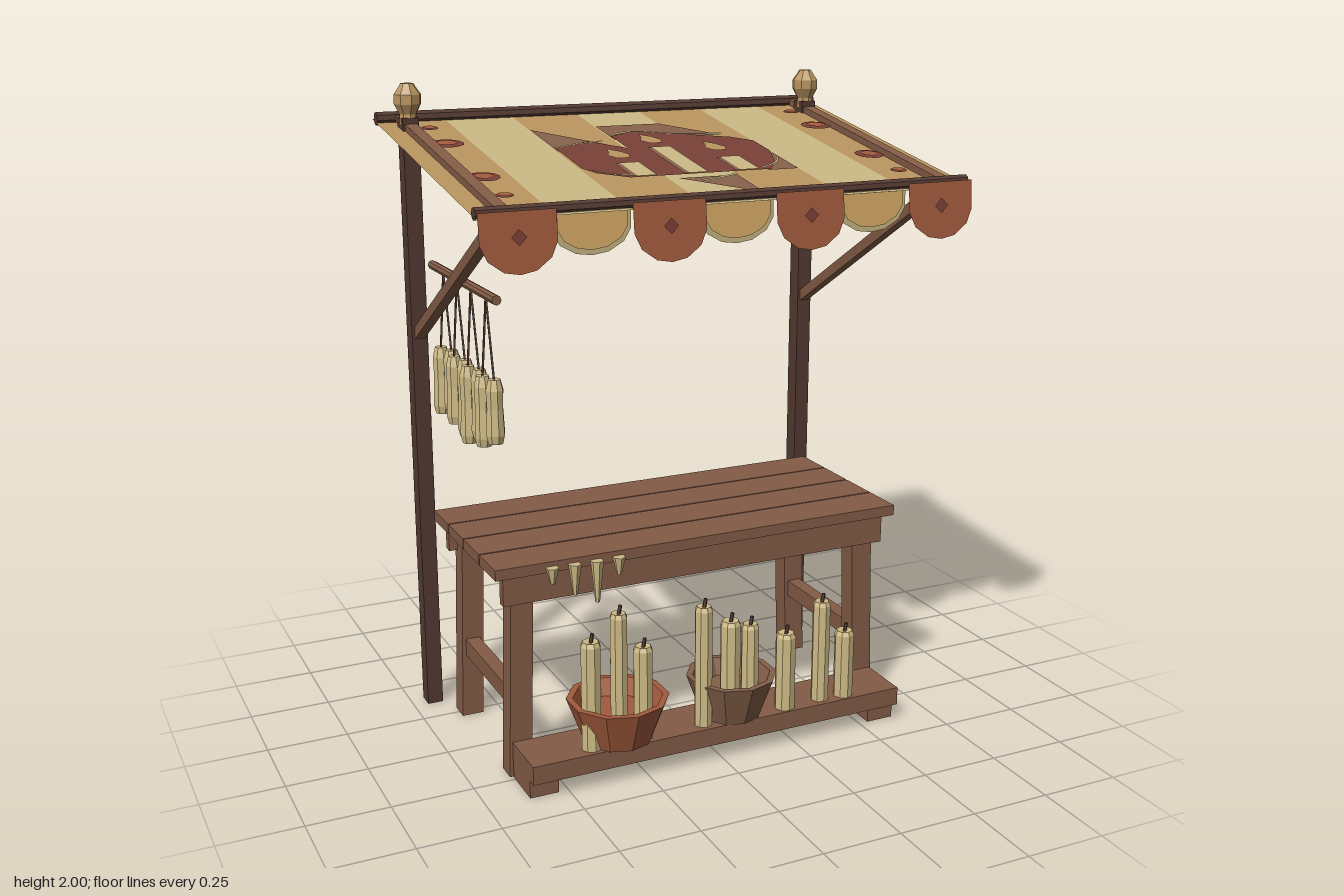
import * as THREE from 'three';

const mat = (name, color, side = THREE.FrontSide) =>
  Object.assign(new THREE.MeshStandardMaterial({ color, side, flatShading: true }), { name });

export function createModel() {
  const root = new THREE.Group();
  root.name = 'marketStall';
  const darkWood = mat('dark wood', 0x543a32);
  const wood = mat('wood', 0x835c46);
  const wax = mat('wax', 0xcfbb86);
  const cream = mat('cream cloth', 0xc9b783, THREE.DoubleSide);
  const tan = mat('tan cloth', 0xb9945f, THREE.DoubleSide);
  const gold = mat('gold cloth', 0xdbb069, THREE.DoubleSide);
  const clay = mat('terracotta', 0xa25b3d, THREE.DoubleSide);
  const maroon = mat('maroon paint', 0x773f36);
  const brown = mat('brown paint', 0x84604a, THREE.DoubleSide);

  const add = (parent, name, geo, m, x = 0, y = 0, z = 0) => {
    const mesh = new THREE.Mesh(geo, m);
    mesh.name = name;
    mesh.position.set(x, y, z);
    parent.add(mesh);
    return mesh;
  };
  const group = (name, parent = root) => {
    const g = new THREE.Group();
    g.name = name;
    parent.add(g);
    return g;
  };
  const box = (parent, name, m, w, h, d, x, y, z) => add(parent, name, new THREE.BoxGeometry(w, h, d), m, x, y, z);
  const lathe = (pts, sides) => new THREE.LatheGeometry(pts.map(p => new THREE.Vector2(...p)), sides);
  // Straight member between two points, square or round
  const bar = (parent, name, m, a, b, r, sides = 0) => {
    const A = new THREE.Vector3(...a), B = new THREE.Vector3(...b), len = A.distanceTo(B);
    const geo = sides ? new THREE.CylinderGeometry(r, r, len, sides) : new THREE.BoxGeometry(2 * r, len, 2 * r);
    const mesh = add(parent, name, geo, m);
    mesh.position.copy(A).lerp(B, 0.5);
    mesh.quaternion.setFromUnitVectors(new THREE.Vector3(0, 1, 0), B.sub(A).normalize());
    return mesh;
  };

  // Posts, finials and braces
  const frame = group('frame');
  for (const s of [-1, 1]) {
    box(frame, 'post', darkWood, 0.05, 1.9, 0.055, s * 0.68, 0.95, -0.375);
    add(frame, 'finial', lathe([[0, 0], [0.028, 0], [0.026, 0.03], [0.042, 0.06], [0.042, 0.088],
      [0.026, 0.11], [0.02, 0.12], [0, 0.12]], 8), tan, s * 0.68, 1.88, -0.375);
    bar(frame, 'brace', wood, [s * 0.68, 1.715, 0.43], [s * 0.68, 1.24, -0.36], 0.016);
  }

  // Sloped canopy; its local plane is the cloth
  const canopy = group('canopy');
  canopy.position.y = 1.8;
  canopy.rotation.x = Math.atan(0.178);
  const plate = (name, m, pts, level) => add(canopy, name,
    new THREE.ShapeGeometry(new THREE.Shape(pts.map(p => new THREE.Vector2(p[0], -p[1])))).rotateX(-Math.PI / 2),
    m, 0, level, 0);
  const rect = (x0, x1, z0, z1) => [[x0, z0], [x1, z0], [x1, z1], [x0, z1]];
  const oval = (x, z, rx, rz, n = 12) => Array.from({ length: n }, (_, i) =>
    [x + rx * Math.cos(i / n * 2 * Math.PI), z + rz * Math.sin(i / n * 2 * Math.PI)]);
  const STRIPE = 0.2165, LEFT = -3.5 * STRIPE;
  for (let i = 0; i < 7; i++) {
    plate('stripe', i % 2 ? cream : tan, rect(LEFT + i * STRIPE, LEFT + (i + 1) * STRIPE, -0.5, 0.478), 0);
  }
  bar(canopy, 'backRod', darkWood, [-0.755, 0.008, -0.472], [0.755, 0.008, -0.472], 0.021, 8);
  bar(canopy, 'frontRod', darkWood, [-0.757, 0.008, 0.447], [0.757, 0.008, 0.447], 0.018, 8);
  for (const s of [-1, 1]) {
    box(canopy, 'sideRail', wood, 0.036, 0.02, 0.92, s * 0.68, 0.01, -0.03);
    for (const [z, rx, rz] of [[-0.198, 0.052, 0.042], [0.132, 0.047, 0.042]]) {
      plate('spotRim', maroon, oval(s * 0.62, z, rx, rz), 0.003);
      plate('spot', clay, oval(s * 0.62, z, rx * 0.6, rz * 0.6), 0.006);
    }
    for (const z of [-0.365, 0.3]) {
      plate('smallSpotRim', maroon, oval(s * 0.62, z, 0.027, 0.02), 0.003);
      plate('smallSpot', clay, oval(s * 0.62, z, 0.022, 0.016), 0.006);
    }
  }

  // Painted candle picture on the cloth
  plate('pictureTop', brown, [[-0.108, -0.3], [0.105, -0.3], [0.25, -0.15], [-0.108, -0.15]], 0.003);
  plate('pictureLeft', brown, [[-0.325, -0.295], [-0.108, -0.06], [-0.325, -0.06]], 0.003);
  plate('pictureCorner', brown, [[0.22, 0.225], [0.32, 0.06], [0.32, 0.225]], 0.003);
  plate('pictureTail', brown, [[-0.08, 0.25], [0.105, 0.25], [0.105, 0.418]], 0.003);
  plate('pictureField', maroon, [[-0.325, -0.09], [-0.2, -0.14], [-0.108, -0.05], [-0.108, -0.18], [-0.02, -0.218],
    [0.1, -0.175], [0.265, -0.11], [0.318, -0.06], [0.318, 0.05], [0.28, 0.15], [0.23, 0.225], [-0.22, 0.225],
    [-0.3, 0.17], [-0.325, 0.12]], 0.006);
  const ribbon = (pts, w) => {
    const c = new THREE.SplineCurve(pts.map(p => new THREE.Vector2(...p))).getPoints(10);
    plate('pictureRibbon', cream, [...c.map(p => [p.x, p.y]), ...c.reverse().map(p => [p.x, p.y + w])], 0.009);
  };
  ribbon([[-0.108, -0.19], [-0.02, -0.215], [0.1, -0.17], [0.25, -0.15]], 0.014);
  ribbon([[-0.325, -0.09], [-0.25, -0.115], [-0.16, -0.13]], 0.012);
  ribbon([[-0.31, 0.14], [-0.26, 0.19], [-0.19, 0.212]], 0.012);
  ribbon([[0.2, 0.212], [0.27, 0.17], [0.31, 0.11]], 0.01);
  ribbon([[-0.03, 0.29], [0.03, 0.275], [0.1, 0.25]], 0.012);
  for (const [x, top, flame] of [[-0.17, 0.095, 0.01], [-0.008, -0.04, -0.12], [0.158, 0.09, -0.015]]) {
    plate('paintedShade', brown, rect(x - 0.045, x - 0.028, top + 0.005, 0.225), 0.009);
    plate('paintedCandle', cream, rect(x - 0.03, x + 0.032, top, 0.225), 0.009);
    plate('paintedFlame', tan, [[x - 0.01, flame - 0.055], [x + 0.02, flame - 0.025], [x + 0.036, flame + 0.01],
      [x + 0.022, flame + 0.042], [x - 0.015, flame + 0.042], [x - 0.034, flame + 0.012], [x - 0.018, flame - 0.02]], 0.009);
  }

  // Scalloped valance
  const valance = group('valance');
  const scallop = (w, drop) => new THREE.ShapeGeometry(new THREE.Shape(
    [[-1, 0], [-1, -0.5], [-0.82, -0.76], [-0.42, -0.95], [0, -1], [0.42, -0.95], [0.82, -0.76], [1, -0.5], [1, 0]]
      .map(([x, y]) => new THREE.Vector2(x * w, y * drop))));
  for (let i = 0; i < 7; i++) {
    const x = LEFT + (i + 0.5) * STRIPE;
    if (i % 2) {
      add(valance, 'scallopTrim', scallop(0.112, 0.13), cream, x, 1.73, 0.45);
      add(valance, 'goldScallop', scallop(0.1, 0.115), gold, x, 1.73, 0.455);
    } else {
      const flap = add(valance, 'clayScallop', scallop(0.108, 0.165), clay, x, 1.735, 0.472);
      flap.rotation.x = -0.11;
      add(flap, 'diamond', new THREE.CircleGeometry(0.022, 4), maroon, 0, -0.068, 0.004);
    }
  }

  // Table: planks, aprons, splayed legs, stretchers
  const table = group('table');
  for (let i = 0; i < 4; i++) box(table, 'plank', wood, 1.34, 0.033, 0.14, 0, 0.663, 0.199 - i * 0.1455);
  for (const z of [0.23, -0.275]) box(table, 'apron', wood, 1.28, 0.092, 0.03, 0, 0.6, z);
  for (const s of [-1, 1]) {
    for (const z of [0.198, -0.248]) {
      const geo = new THREE.BoxGeometry(0.07, 0.645, 0.065);
      const p = geo.attributes.position;
      for (let i = 0; i < p.count; i++) if (p.getY(i) < 0) p.setX(i, p.getX(i) + s * 0.02);
      geo.computeVertexNormals();
      add(table, 'leg', geo, wood, s * 0.575, 0.3225, z);
    }
    box(table, 'stretcher', wood, 0.045, 0.055, 0.4, s * 0.588, 0.237, -0.025);
  }

  // Low shelf in front
  const shelf = group('shelf');
  box(shelf, 'shelfBoard', wood, 1.24, 0.058, 0.172, 0, 0.085, 0.32);
  for (const s of [-1, 1]) box(shelf, 'shelfFoot', wood, 0.09, 0.058, 0.14, s * 0.575, 0.029, 0.306);

  // Pots and candles
  const goods = group('candleDisplay');
  const pot = (name, m, x, r0, r1) => add(goods, name, lathe([[0, 0], [r0, 0], [r1, 0.132], [r1 - 0.02, 0.132],
    [r1 - 0.04, 0.08], [0, 0.08]], 10), m, x, 0.114, 0.33);
  pot('clayPot', clay, -0.32, 0.105, 0.155);
  pot('brownPot', brown, 0.06, 0.092, 0.14);
  const candle = (x, top, r, z) => {
    add(goods, 'candle', lathe([[0, 0], [r, 0], [r, top - 0.128], [r * 0.8, top - 0.115], [0, top - 0.12]], 8),
      wax, x, 0.114, z);
    bar(goods, 'wick', darkWood, [x, top - 0.01, z], [x + 0.006, top + 0.022, z], 0.006, 5);
  };
  for (const [x, top, r, z] of [[-0.42, 0.455, 0.031, 0.365], [-0.333, 0.53, 0.027, 0.37], [-0.253, 0.41, 0.03, 0.365],
    [-0.053, 0.5, 0.028, 0.365], [0.035, 0.44, 0.032, 0.37], [0.105, 0.415, 0.028, 0.365],
    [0.227, 0.365, 0.032, 0.37], [0.355, 0.445, 0.028, 0.365], [0.437, 0.335, 0.031, 0.37]]) candle(x, top, r, z);

  // Wax dripping over the table edge
  const drips = group('waxDrips');
  for (const [x, tip] of [[-0.5, 0.615], [-0.43, 0.57], [-0.36, 0.535], [-0.29, 0.61]]) {
    const h = 0.665 - tip;
    add(drips, 'drip', new THREE.CylinderGeometry(0.02, 0.007, h, 6), wax, x, tip + h / 2, 0.28);
  }

  // Rail of hanging candle pairs
  const hanging = group('hangingCandles');
  const X = -0.655;
  bar(hanging, 'hangingRail', wood, [X, 1.47, -0.272], [X, 1.47, 0.308], 0.014, 8);
  [[0.217, 1.05, 1.03], [0.088, 1.03, 1.005], [-0.038, 1.005, 1.03], [-0.165, 1.05, 1.03]].forEach(([z, b1, b2]) => {
    for (const [s, bottom] of [[1, b1], [-1, b2]]) {
      const cz = z + s * 0.027, cx = X + s * 0.008, h = 1.235 - bottom;
      bar(hanging, 'string', darkWood, [X, 1.465, z], [cx, 1.225, cz], 0.004, 4);
      add(hanging, 'hangingCandle', lathe([[0, 0], [0.022, 0], [0.028, 0.025], [0.024, h * 0.55], [0.026, h - 0.03],
        [0.018, h], [0, h]], 8), wax, cx, bottom, cz);
    }
  });
  return root;
}
